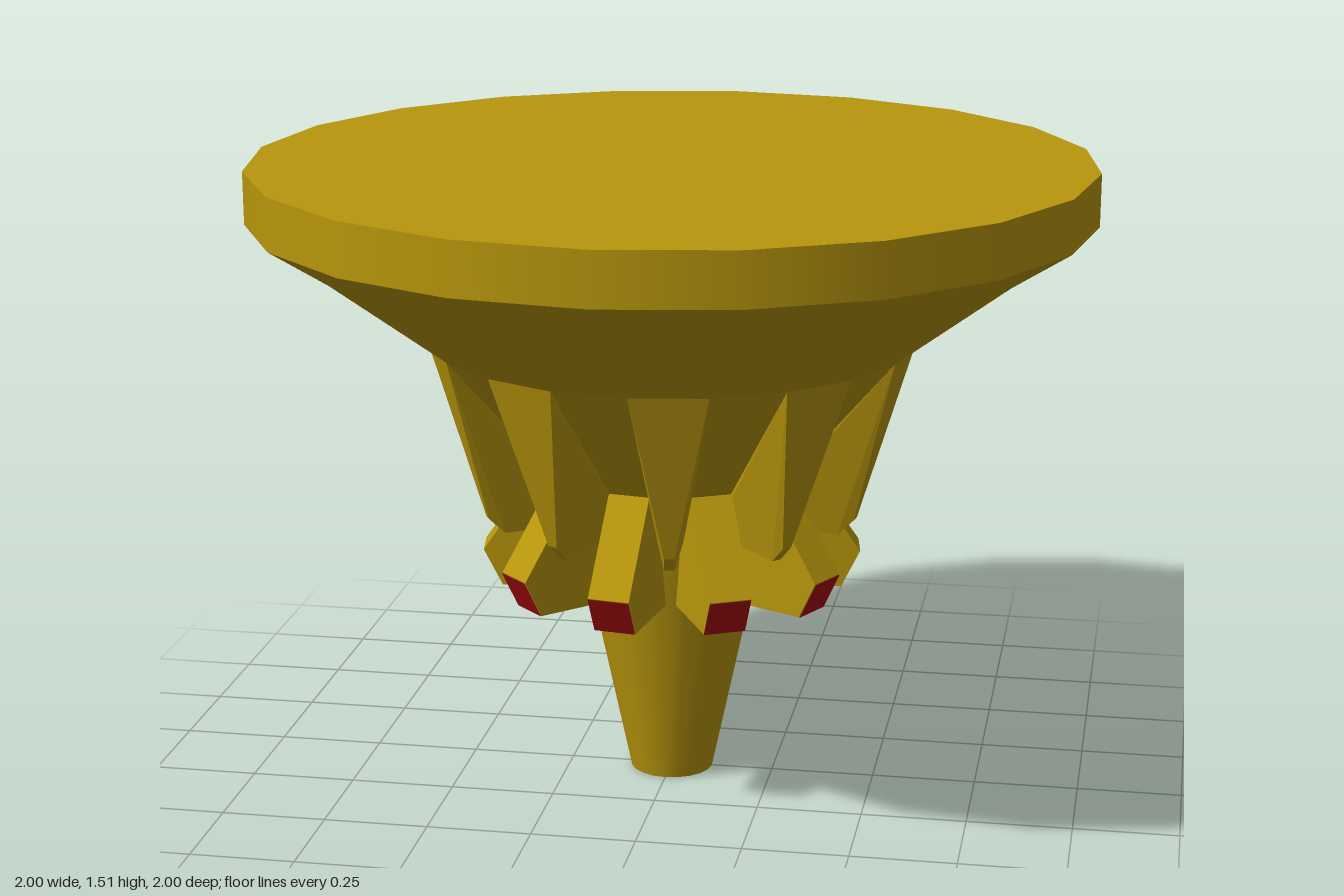
import * as THREE from 'three';
import { ConvexGeometry } from 'three/addons/geometries/ConvexGeometry.js';

const gold = new THREE.MeshStandardMaterial({ color: 0xb8960c });
const goldFlat = new THREE.MeshStandardMaterial({ color: 0xb8960c, flatShading: true });
const red = new THREE.MeshStandardMaterial({ color: 0xaa0a10 });
const STEP = Math.PI / 10; // one side of the 20-sided body

export function createModel() {
  const model = new THREE.Group();

  function add(parent, name, geometry, material) {
    const mesh = new THREE.Mesh(geometry, material);
    mesh.name = name;
    parent.add(mesh);
    return mesh;
  }

  // Round section between two heights
  function section(name, rBottom, yBottom, rTop, yTop, open, material = gold) {
    const g = new THREE.CylinderGeometry(rTop, rBottom, yTop - yBottom, 20, 1, open);
    g.translate(0, (yTop + yBottom) / 2, 0);
    add(model, name, g, material);
  }

  section('topDisc', 1, 1.39, 1, 1.515, false);
  section('upperFlare', 0.86, 1.3, 1, 1.39, true);
  section('lowerFlare', 0.58, 1.09, 0.86, 1.3, true);
  section('facetedCore', 0.31, 0.78, 0.58, 1.09, false, goldFlat);
  section('stem', 0.1, 0, 0.265, 0.78, false);

  // Fin: a full facet wide at the top, almost a point at the bottom
  const finPoints = [];
  for (const side of [-1, 1]) {
    const a = side * STEP / 2;
    for (const [r, y] of [[0.58, 1.09], [0.31, 0.78], [0.22, 0.66]]) {
      finPoints.push(new THREE.Vector3(r * Math.sin(a), y, r * Math.cos(a)));
    }
    finPoints.push(new THREE.Vector3(side * 0.012, 0.68, 0.46));
    finPoints.push(new THREE.Vector3(side * 0.012, 0.64, 0.42));
  }
  const finGeometry = new ConvexGeometry(finPoints);

  // Tooth: side profile (radius, height) extruded across its width
  const width = 0.1;
  const profile = [[0.18, 0.48], [0.41, 0.48], [0.455, 0.57], [0.31, 0.78], [0.2, 0.78]];
  const toothGeometry = new THREE.ExtrudeGeometry(
    new THREE.Shape(profile.map(([r, y]) => new THREE.Vector2(r, y))),
    { depth: width, bevelEnabled: false }
  );
  toothGeometry.translate(0, 0, -width / 2).rotateY(-Math.PI / 2);

  // Red pane on the tooth's lower outer face
  const paneGeometry = new THREE.PlaneGeometry(width, 0.1);
  paneGeometry.rotateX(Math.atan2(0.045, 0.09)).translate(0, 0.524, 0.4345);

  // Teeth and fins alternate around the body
  for (let i = 0; i < 10; i++) {
    const tooth = new THREE.Group();
    tooth.name = 'tooth';
    tooth.rotation.y = (2 * i - 0.5) * STEP;
    add(tooth, 'toothBody', toothGeometry, goldFlat);
    add(tooth, 'redPane', paneGeometry, red);
    model.add(tooth);

    add(model, 'fin', finGeometry, goldFlat).rotation.y = (2 * i + 0.5) * STEP;
  }

  return model;
}
